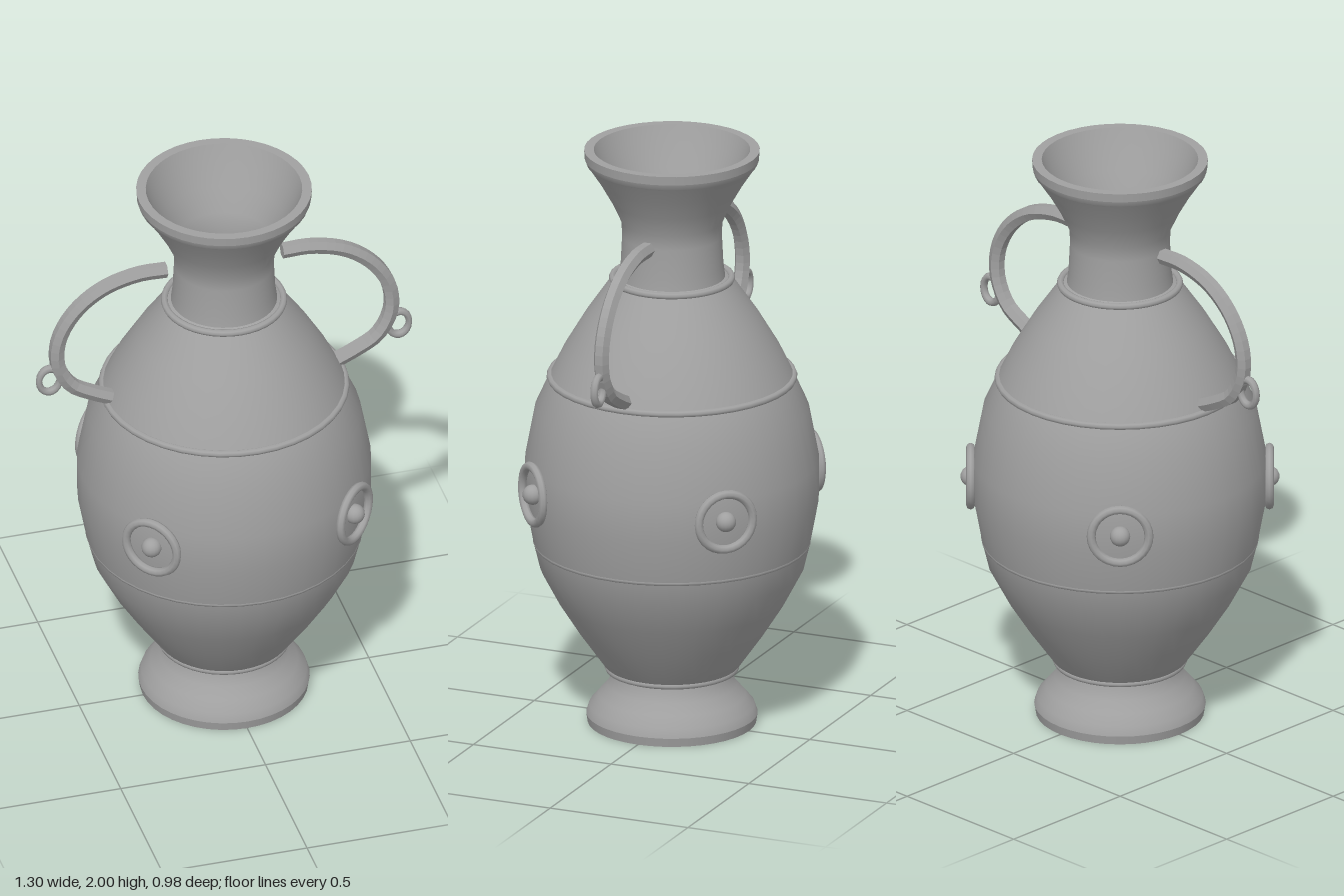
import * as THREE from 'three';

export function createModel() {
  const root = new THREE.Group();
  root.name = 'amphora';
  const clay = new THREE.MeshStandardMaterial({ color: 0xa0a0a0 });
  clay.name = 'grey clay';

  const add = (name, geometry, parent = root) => {
    const mesh = new THREE.Mesh(geometry, clay);
    mesh.name = name;
    parent.add(mesh);
    return mesh;
  };
  // Profiles are [radius, height]; each section ends at a hard edge
  const turned = (name, profile) =>
    add(name, new THREE.LatheGeometry(profile.map(([r, y]) => new THREE.Vector2(r, y)), 40));

  turned('footBase', [[0, 0], [0.28, 0]]);
  turned('footEdge', [[0.28, 0], [0.285, 0.03]]);
  turned('foot', [[0.285, 0.03], [0.275, 0.06], [0.245, 0.095], [0.215, 0.13], [0.2, 0.16], [0.193, 0.19]]);
  turned('body', [[0.2, 0.18], [0.225, 0.2], [0.31, 0.32], [0.38, 0.43], [0.438, 0.54], [0.46, 0.63],
    [0.488, 0.78], [0.489, 0.92], [0.455, 1.1], [0.41, 1.2], [0.362, 1.3], [0.29, 1.42], [0.2, 1.55]]);
  turned('shoulderLedge', [[0.2, 1.55], [0.175, 1.56]]);
  turned('neck', [[0.178, 1.55], [0.171, 1.6], [0.166, 1.7], [0.168, 1.75], [0.2, 1.82], [0.24, 1.89], [0.28, 1.95]]);
  turned('rimUnderside', [[0.275, 1.945], [0.284, 1.953], [0.29, 1.97]]);
  turned('rimSide', [[0.29, 1.97], [0.292, 2]]);
  turned('lip', [[0.292, 2], [0.26, 2]]);
  // Hollow inside, running down from the lip
  turned('mouthInside', [[0.26, 2], [0.235, 1.94], [0.2, 1.87], [0.16, 1.79], [0.14, 1.73], [0.138, 1.58]]);
  turned('bellyInside', [[0.138, 1.58], [0.33, 1.3], [0.45, 0.95], [0.45, 0.75], [0.4, 0.54], [0.19, 0.22]]);
  turned('floorInside', [[0.19, 0.22], [0, 0.22]]);

  // Raised bands around the vessel
  for (const [name, r, y] of [['footBand', 0.212, 0.19], ['lowerBand', 0.45, 0.632],
    ['upperBand', 0.405, 1.208], ['neckBand', 0.198, 1.552]]) {
    const band = add(name, new THREE.TorusGeometry(r, 0.012, 8, 40));
    band.rotation.x = Math.PI / 2;
    band.position.y = y;
  }

  // Six-sided bar swept along the handle curve
  const section = new THREE.Shape(Array.from({ length: 6 }, (_, i) =>
    new THREE.Vector2(Math.cos(i * Math.PI / 3), Math.sin(i * Math.PI / 3)).multiplyScalar(0.027)));
  for (const [side, s] of [['left', 1], ['right', -1]]) {
    const path = new THREE.CatmullRomCurve3([[0.2, 1.71], [0.3, 1.71], [0.42, 1.675], [0.515, 1.6], [0.57, 1.5],
      [0.575, 1.4], [0.53, 1.31], [0.46, 1.265], [0.385, 1.23]]
      .map(([x, y]) => new THREE.Vector3(s * x, y, 0)));
    add(side + 'Handle', new THREE.ExtrudeGeometry(section,
      { steps: 28, bevelEnabled: false, extrudePath: path }));
    // Small loop hanging on the outside of the handle
    const loop = add(side + 'HandleLoop', new THREE.TorusGeometry(0.046, 0.014, 8, 20));
    loop.scale.x = 0.78;
    loop.position.set(s * 0.603, 1.34, 0);
  }

  // Four round bosses on the diagonals of the belly
  for (let i = 0; i < 4; i++) {
    const a = Math.PI / 4 + i * Math.PI / 2;
    const boss = new THREE.Group();
    boss.name = 'boss' + (i + 1);
    boss.position.set(0.496 * Math.sin(a), 0.85, 0.496 * Math.cos(a));
    boss.rotation.y = a;
    add('bossRing', new THREE.TorusGeometry(0.096, 0.015, 8, 28), boss);
    add('bossKnob', new THREE.SphereGeometry(0.034, 16, 12), boss);
    root.add(boss);
  }
  return root;
}
